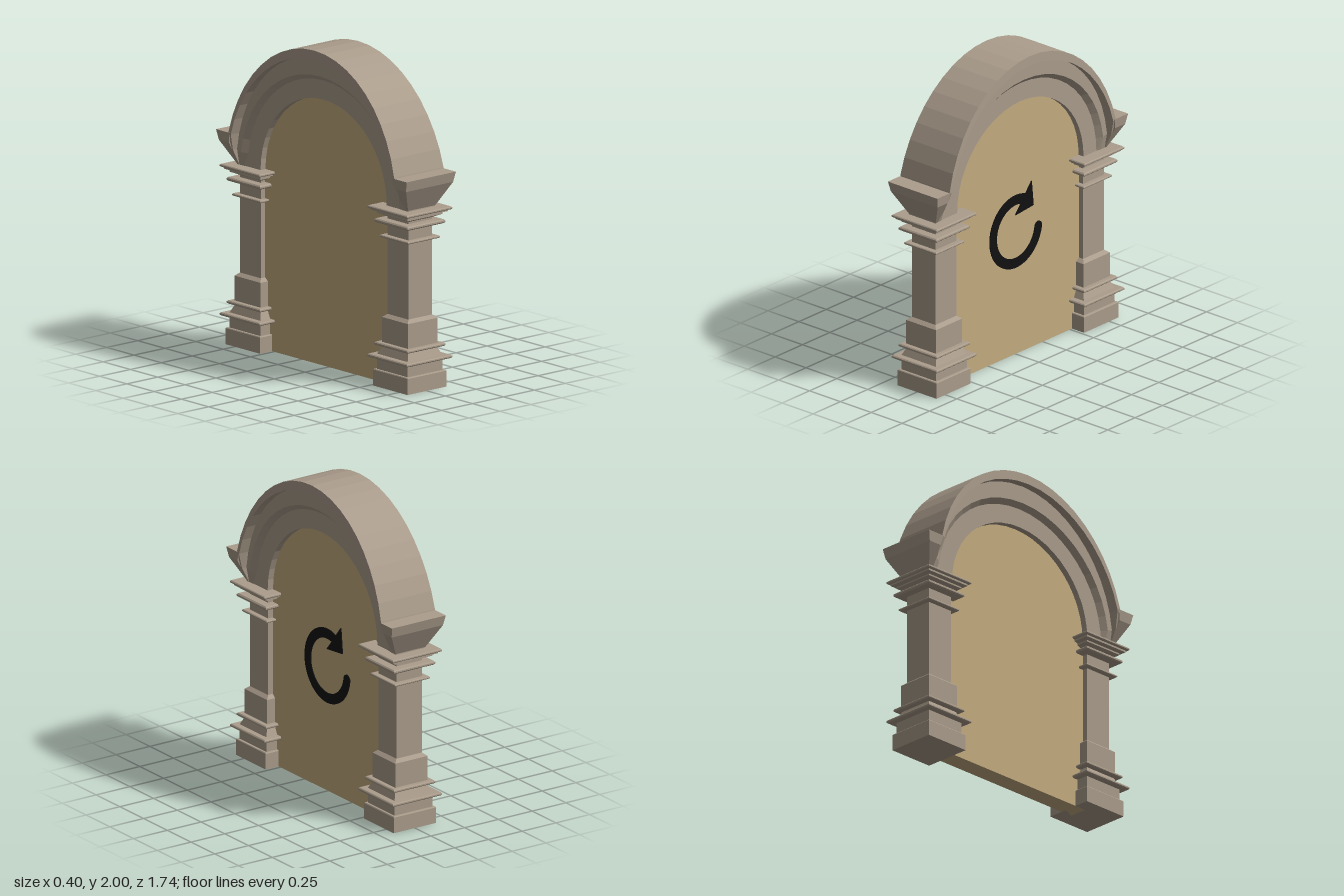
import * as THREE from 'three';

const stone = new THREE.MeshStandardMaterial({ color: 0xab9d8c });
stone.name = 'stone';
const sand = new THREE.MeshStandardMaterial({ color: 0xc4ad80 });
sand.name = 'sand';
const black = new THREE.MeshStandardMaterial({ color: 0x111111 });
black.name = 'black';

const SPRING = 1.125; // height where the arch starts

function add(parent, name, geometry, material) {
  const mesh = new THREE.Mesh(geometry, material);
  mesh.name = name;
  parent.add(mesh);
  return mesh;
}

function flat(geometry) {
  const g = geometry.index ? geometry.toNonIndexed() : geometry;
  g.computeVertexNormals();
  return g;
}

// Skin between closed cross-sections, counter-clockwise seen from the travel end
function loft(rings, capped) {
  const pos = [];
  const tri = (...pts) => pts.forEach((p) => pos.push(...p));
  for (let r = 0; r < rings.length - 1; r++) {
    const a = rings[r], b = rings[r + 1];
    for (let i = 0; i < a.length; i++) {
      const j = (i + 1) % a.length;
      tri(a[i], a[j], b[j]);
      tri(a[i], b[j], b[i]);
    }
  }
  if (capped) {
    const a = rings[0], b = rings[rings.length - 1];
    for (let i = 1; i < a.length - 1; i++) {
      tri(a[0], a[i + 1], a[i]);
      tri(b[0], b[i], b[i + 1]);
    }
  }
  const g = new THREE.BufferGeometry();
  g.setAttribute('position', new THREE.Float32BufferAttribute(pos, 3));
  return flat(g);
}

// Square pillar from a profile of [half width, height]
function pillarGeometry() {
  const profile = [[0, 0], [0.157, 0], [0.157, 0.1], [0.153, 0.105], [0.14, 0.105], [0.14, 0.18]];
  const flange = (w, y0, y1) => {
    const b = (y1 - y0) * 0.3;
    profile.push([w - b, y0], [w, y0 + b], [w, y1 - b], [w - b, y1]);
  };
  flange(0.183, 0.18, 0.2);
  profile.push([0.14, 0.2], [0.115, 0.255]);
  flange(0.153, 0.255, 0.275);
  profile.push([0.12, 0.275], [0.12, 0.43], [0.095, 0.45], [0.095, 0.93]);
  flange(0.13, 0.93, 0.945);
  profile.push([0.095, 0.945], [0.095, 1.023]);
  flange(0.153, 1.023, 1.047);
  profile.push([0.095, 1.047], [0.095, 1.06], [0.14, 1.08], [0.14, 1.09], [0.165, 1.098], [0.165, 1.11]);
  flange(0.183, 1.11, 1.128);
  profile.push([0, 1.128]);
  const points = profile.map(([w, y]) => new THREE.Vector2(w * Math.SQRT2, y));
  return flat(new THREE.LatheGeometry(points, 4, Math.PI / 4));
}

// Half thickness of the arch rim at a given height
function rimWidth(y) {
  const { lerp, clamp } = THREE.MathUtils;
  if (y < 1.28) return lerp(0.105, 0.19, clamp((y - SPRING) / (1.28 - SPRING), 0, 1));
  if (y < 1.345) return lerp(0.19, 0.2, (y - 1.28) / 0.065);
  return lerp(0.2, 0.178, (y - 1.345) / 0.655);
}

// Stepped moulding swept over the opening: [rise, half span, half thickness]
function archGeometry() {
  const section = [
    [0.875, 0.785, 1], [0.815, 0.765, 1], [0.815, 0.765, 0.13],
    [0.705, 0.73, 0.13], [0.675, 0.695, 0.1], [0.555, 0.578, 0.1],
  ];
  const rings = [];
  const steps = 24;
  for (let s = 0; s <= steps; s++) {
    const t = (s / steps) * Math.PI;
    const side = section.map(([rise, span, x]) => {
      const y = SPRING + rise * Math.sin(t);
      return [Math.min(x, rimWidth(y)), y, span * Math.cos(t)];
    });
    const other = side.map(([x, y, z]) => [-x, y, z]).reverse();
    rings.push([...side, ...other]);
  }
  return loft(rings, false);
}

// Flared block at the foot of the arch: [height, half thickness, inner z, outer z]
function corbelGeometry() {
  const levels = [[1.125, 0.105, 0.765, 0.78], [1.28, 0.19, 0.765, 0.857], [1.345, 0.2, 0.75, 0.872]];
  return loft(levels.map(([y, x, z0, z1]) => [[x, y, z1], [x, y, z0], [-x, y, z0], [-x, y, z1]]), true);
}

function panelGeometry() {
  const s = new THREE.Shape();
  s.moveTo(-0.6, 0);
  s.lineTo(0.6, 0);
  s.lineTo(0.6, SPRING);
  s.absellipse(0, SPRING, 0.585, 0.56, 0, Math.PI, false);
  s.lineTo(-0.6, SPRING);
  return new THREE.ExtrudeGeometry(s, { depth: 0.12, bevelEnabled: false, curveSegments: 32 })
    .translate(0, 0, -0.06).rotateY(Math.PI / 2);
}

// Open ring with a rounded tail
function ringGeometry() {
  const start = THREE.MathUtils.degToRad(64), end = THREE.MathUtils.degToRad(352);
  const mid = 0.207, half = 0.032;
  const s = new THREE.Shape();
  s.absarc(0, 0, mid + half, start, end, false);
  s.absarc(mid * Math.cos(end), mid * Math.sin(end), half, end, end + Math.PI, false);
  s.absarc(0, 0, mid - half, end, start, true);
  return new THREE.ExtrudeGeometry(s, { depth: 0.006, bevelEnabled: false, curveSegments: 32 })
    .translate(0, 0.81, 0.06).rotateY(Math.PI / 2);
}

function arrowheadGeometry() {
  const s = new THREE.Shape([[-0.005, 0.918], [0.16, 0.934], [0.143, 1.098]].map((p) => new THREE.Vector2(...p)));
  return new THREE.ExtrudeGeometry(s, { depth: 0.007, bevelEnabled: false })
    .translate(0, 0, 0.06).rotateY(Math.PI / 2);
}

export function createModel() {
  const model = new THREE.Group();
  model.name = 'archway';

  // Pillars and corbels on both ends
  const pillar = pillarGeometry();
  const corbel = corbelGeometry();
  for (const [name, sign] of [['front', 1], ['back', -1]]) {
    add(model, name + 'Pillar', pillar, stone).position.z = sign * 0.675;
    add(model, name + 'Corbel', corbel, stone).rotation.y = sign > 0 ? 0 : Math.PI;
  }
  add(model, 'arch', archGeometry(), stone);

  // Filled opening with the turning arrow on its left face
  add(model, 'panel', panelGeometry(), sand);
  const arrow = new THREE.Group();
  arrow.name = 'turningArrow';
  add(arrow, 'arrowRing', ringGeometry(), black);
  add(arrow, 'arrowHead', arrowheadGeometry(), black);
  model.add(arrow);
  return model;
}
